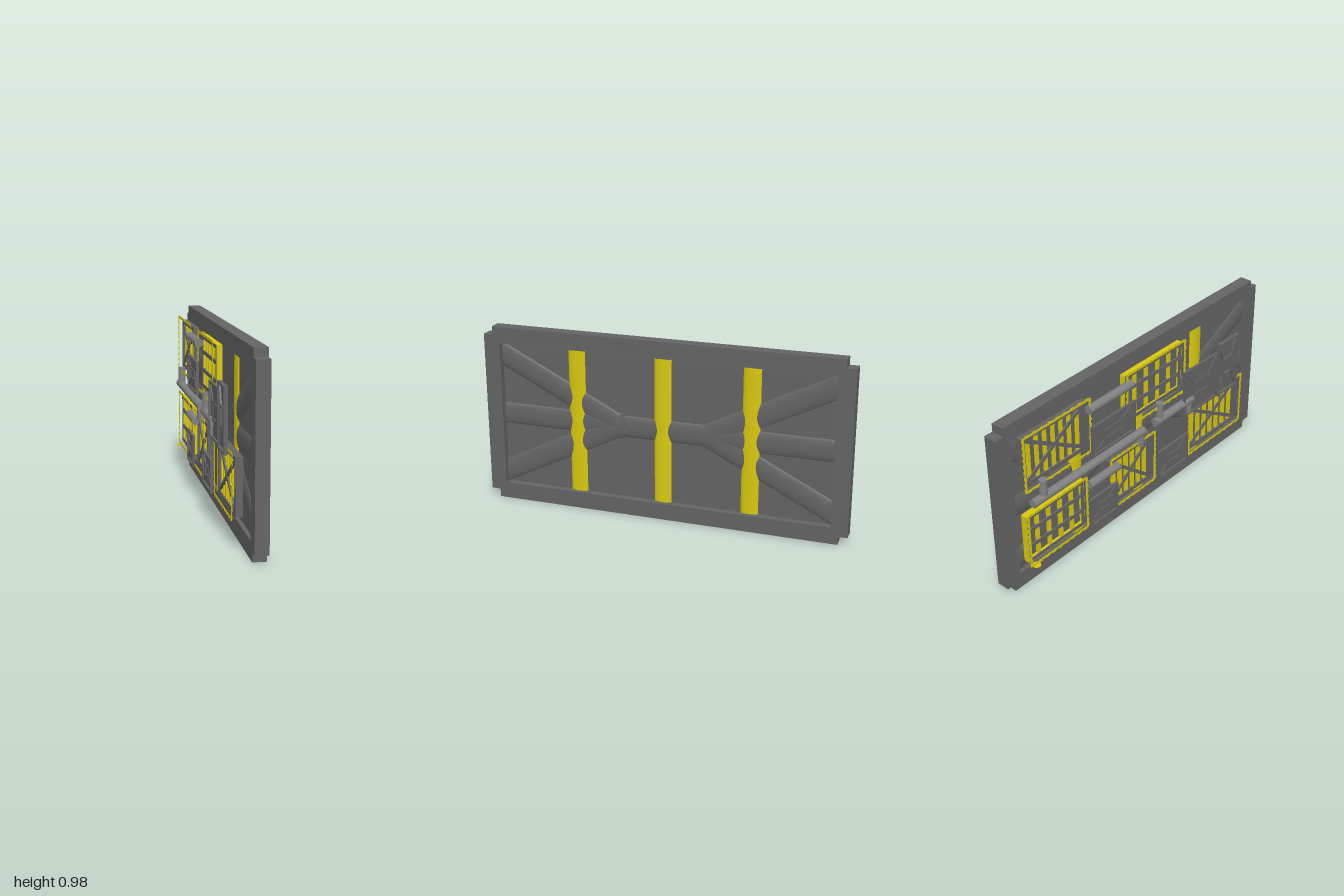
import * as THREE from 'three';

const grey = new THREE.MeshStandardMaterial({ color: 0x646464 });
const pipeGrey = new THREE.MeshStandardMaterial({ color: 0x808080 });
const yellow = new THREE.MeshStandardMaterial({ color: 0xd8c80f });

function add(parent, name, geo, mat) {
  const m = new THREE.Mesh(geo, mat);
  m.name = name;
  parent.add(m);
  return m;
}

// axis-aligned box given by its limits
function box(parent, name, [x0, x1], [y0, y1], [z0, z1], mat) {
  const m = add(parent, name, new THREE.BoxGeometry(x1 - x0, y1 - y0, z1 - z0), mat);
  m.position.set((x0 + x1) / 2, (y0 + y1) / 2, (z0 + z1) / 2);
}

// extrudes an outline of [z, y] points, with a rectangular hole, along x
function plateWithHole(parent, name, outline, [hy0, hy1], [hz0, hz1], [x0, x1], mat) {
  const s = new THREE.Shape(outline.map(([z, y]) => new THREE.Vector2(-z, y)));
  const hole = [[hz0, hy0], [hz0, hy1], [hz1, hy1], [hz1, hy0]];
  s.holes.push(new THREE.Path(hole.map(([z, y]) => new THREE.Vector2(-z, y))));
  const g = new THREE.ExtrudeGeometry(s, { depth: x1 - x0, bevelEnabled: false });
  g.rotateY(Math.PI / 2).translate(x0, 0, 0);
  add(parent, name, g, mat);
}

function ring(parent, name, xs, [y0, y1], [z0, z1], t, mat) {
  plateWithHole(parent, name, [[z0, y0], [z1, y0], [z1, y1], [z0, y1]],
    [y0 + t, y1 - t], [z0 + t, z1 - t], xs, mat);
}

// flat bar in the wall plane between two [y, z] points
function bar(parent, name, x, [ya, za], [yb, zb], width, depth) {
  const m = add(parent, name,
    new THREE.BoxGeometry(depth, width, Math.hypot(yb - ya, zb - za)), grey);
  m.position.set(x, (ya + yb) / 2, (za + zb) / 2);
  m.rotation.x = -Math.atan2(yb - ya, zb - za);
}

// round rod in the wall plane between two [y, z] points; flat squashes it along x
function rod(parent, name, x, [ya, za], [yb, zb], radius, mat, flat = 1) {
  const length = Math.hypot(yb - ya, zb - za);
  const m = add(parent, name, new THREE.CylinderGeometry(radius, radius, length, 32), mat);
  m.scale.x = flat;
  m.position.set(x, (ya + yb) / 2, (za + zb) / 2);
  m.rotation.x = Math.atan2(zb - za, yb - ya);
}

// vent: open tray, slats, a cross or rail grille, and a toothed rim
function vent(parent, ys, zs, xs, bodyMat, crossed, slats) {
  const g = new THREE.Group();
  g.name = 'vent';
  parent.add(g);
  const [y0, y1] = ys, [z0, z1] = zs, x = xs[0];
  ring(g, 'ventBody', xs, ys, zs, 0.012, bodyMat);
  box(g, 'ventBack', [-0.012, xs[1] - 0.001], [y0 + 0.005, y1 - 0.005], [z0 + 0.005, z1 - 0.005], grey);
  for (let i = 0; i < slats; i++) {
    const z = z0 + (z1 - z0) * (i + 1) / (slats + 1);
    box(g, 'ventSlat', [x + 0.007, -0.011], [y0 + 0.01, y1 - 0.01], [z - 0.008, z + 0.008], yellow);
  }
  if (crossed) {
    bar(g, 'crossBar', x + 0.006, [y0 + 0.01, z0 + 0.01], [y1 - 0.01, z1 - 0.01], 0.018, 0.010);
    bar(g, 'crossBar', x + 0.005, [y0 + 0.01, z1 - 0.01], [y1 - 0.01, z0 + 0.01], 0.018, 0.010);
  } else {
    for (const f of [0.33, 0.67]) {
      const y = y0 + (y1 - y0) * f;
      bar(g, 'rail', x + 0.006, [y, z0 + 0.01], [y, z1 - 0.01], 0.018, 0.010);
    }
  }
  ring(g, 'innerRim', [x - 0.001, x + 0.004], [y0 + 0.003, y1 - 0.003], [z0 + 0.003, z1 - 0.003], 0.018, grey);
  const Y = [y0 - 0.014, y1 + 0.021], Z = [z0 - 0.008, z1 + 0.008];
  ring(g, 'outerRim', [-0.0565, -0.0545], Y, Z, 0.012, yellow);
  // teeth round the rim
  const n = 9;
  for (let i = 0; i < n; i++) {
    const f = (i + 0.5) / n;
    const y = Y[0] + (Y[1] - Y[0]) * f, z = Z[0] + (Z[1] - Z[0]) * f;
    for (const e of Z) box(g, 'rimTooth', [-0.057, -0.054], [y - 0.008, y + 0.008], [e - 0.004, e + 0.004], yellow);
    for (const e of Y) box(g, 'rimTooth', [-0.057, -0.054], [e - 0.004, e + 0.004], [z - 0.01, z + 0.01], yellow);
  }
}

// small framed panel with ribs running from its corners to a raised centre
function ribbedPanel(parent, ys, zs, [x0, x1]) {
  const g = new THREE.Group();
  g.name = 'ribbedPanel';
  parent.add(g);
  const yc = (ys[0] + ys[1]) / 2, zc = (zs[0] + zs[1]) / 2;
  const hy = (ys[1] - ys[0]) * 0.16, hz = (zs[1] - zs[0]) * 0.22;
  ring(g, 'panelRim', [x0, x1], ys, zs, 0.011, grey);
  box(g, 'panelBack', [x1 - 0.005, x1 - 0.001], ys, zs, grey);
  ring(g, 'panelCentre', [x0 + 0.004, x1], [yc - hy, yc + hy], [zc - hz, zc + hz], 0.009, grey);
  for (const a of [0, 1]) for (const b of [0, 1]) {
    bar(g, 'panelRib', (x0 + x1) / 2 + 0.002, [ys[a] + (a ? -0.006 : 0.006), zs[b] + (b ? -0.006 : 0.006)],
      [yc + (a ? hy : -hy), zc + (b ? hz : -hz)], 0.009, (x1 - x0) * 0.6);
  }
}

export function createModel() {
  const root = new THREE.Group();
  root.name = 'wallPanel';

  // outer frame with notched corners and the thin wall inside it
  const k = 0.95, lo = 0.045, hi = 0.935, top = 0.98;
  plateWithHole(root, 'frame', [
    [-k, 0], [k, 0], [k, lo], [1, lo], [1, hi], [k, hi],
    [k, top], [-k, top], [-k, hi], [-1, hi], [-1, lo], [-k, lo],
  ], [0.09, 0.89], [-0.91, 0.91], [0.012, 0.081], grey);
  const xc = 0.038;
  box(root, 'wall', [xc - 0.005, xc + 0.005], [0.08, 0.9], [-0.92, 0.92], grey);

  // half-sunk conduits and yellow bands, showing on both faces of the wall
  rod(root, 'mainConduit', xc, [0.49, -0.93], [0.49, 0.93], 0.063, grey, 0.24);
  for (const t of [-1, 1]) {
    rod(root, 'branchConduit', xc, [0.49, -0.235], [0.49 + t * 0.355, -0.95], 0.063, grey, 0.24);
    rod(root, 'branchConduit', xc, [0.49 - t * 0.02, 0.2], [0.49 + t * 0.355, 0.95], 0.063, grey, 0.26);
  }
  for (const z of [-0.475, 0, 0.48]) {
    rod(root, 'band', xc, [0.085, z], [0.895, z], 0.049, yellow, 0.4);
  }

  // vents on the equipment side
  const deep = [-0.038, -0.001], shallow = [-0.034, -0.005];
  vent(root, [0.625, 0.905], [-0.89, -0.45], shallow, grey, true, 7);
  vent(root, [0.62, 0.905], [-0.17, 0.28], shallow, yellow, false, 4);
  vent(root, [0.17, 0.455], [-0.89, -0.49], deep, yellow, false, 4);
  vent(root, [0.17, 0.455], [-0.3, 0.04], deep, grey, true, 6);
  vent(root, [0.17, 0.455], [0.34, 0.8], deep, grey, true, 7);

  // ribbed panels between the vents
  const slim = [-0.073, -0.058];
  ribbedPanel(root, [0.58, 0.76], [-0.45, -0.13], slim);
  ribbedPanel(root, [0.45, 0.73], [0.27, 0.57], slim);
  ribbedPanel(root, [0.45, 0.775], [0.555, 0.73], [-0.081, -0.061]);
  ribbedPanel(root, [0.155, 0.33], [-0.48, -0.27], slim);
  ribbedPanel(root, [0.155, 0.33], [0.06, 0.31], slim);

  // pipes along the wall: [y, z start, z end]
  const px = -0.055;
  for (const [y, z0, z1] of [[0.53, -0.86, -0.05], [0.86, -0.46, -0.14], [0.53, 0.04, 0.35], [0.415, -0.47, -0.25]]) {
    rod(root, 'pipe', px, [y, z0], [y, z1], 0.023, pipeGrey);
  }
  // upright stubs on the pipes: [z, y start, y end]
  for (const [z, y0, y1] of [[-0.785, 0.53, 0.635], [-0.075, 0.455, 0.53], [0.08, 0.53, 0.635], [0.32, 0.455, 0.53]]) {
    rod(root, 'pipeStub', px, [y0, z], [y1, z], 0.021, pipeGrey);
  }
  // small cap under the lower vent
  rod(root, 'cap', px, [0.148, -0.86], [0.153, -0.86], 0.022, yellow);

  return root;
}
